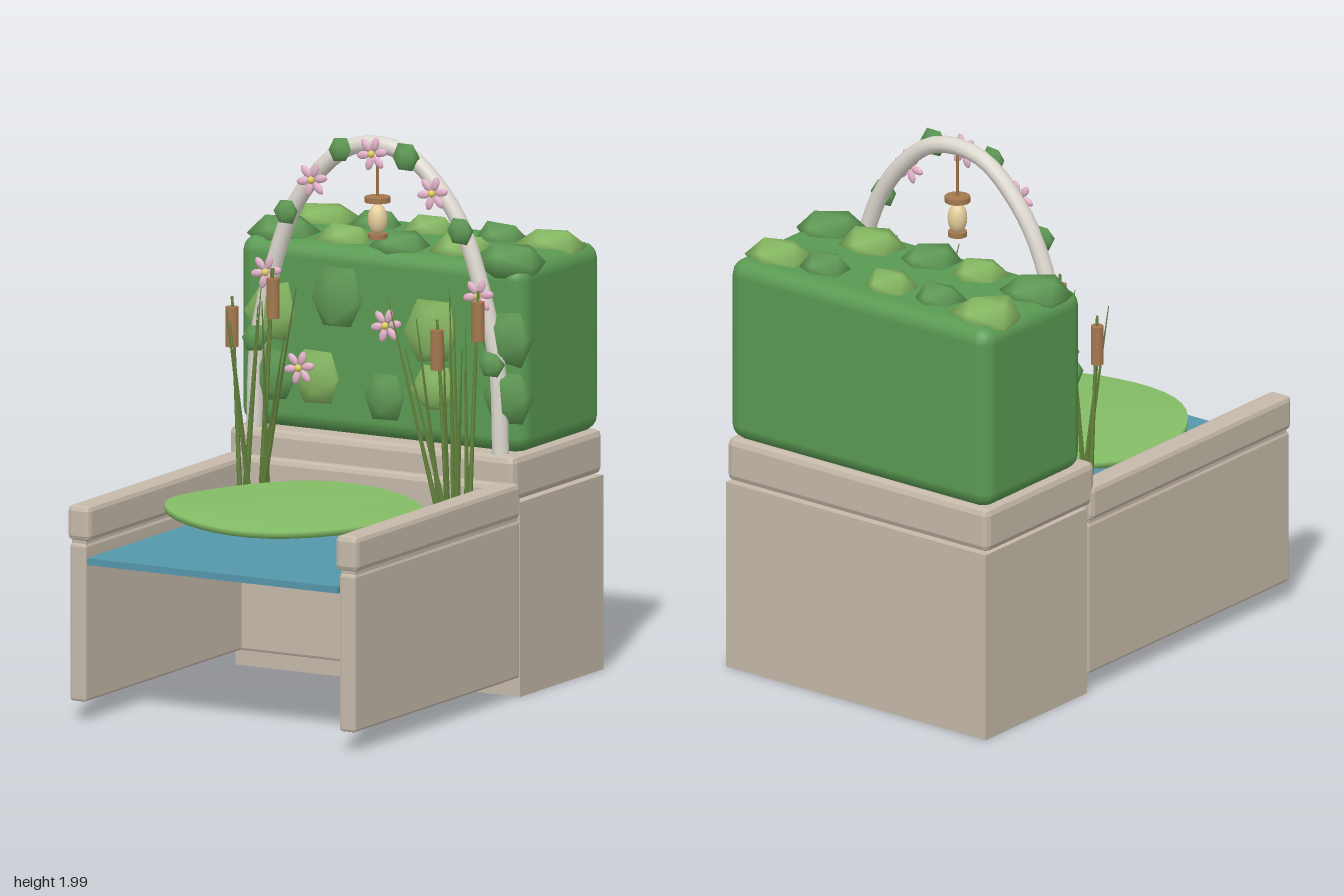
import * as THREE from 'three';
import { mergeVertices } from 'three/addons/utils/BufferGeometryUtils.js';
import { RoundedBoxGeometry } from 'three/addons/geometries/RoundedBoxGeometry.js';

const mat = (color, opts = {}) => {
  const m = new THREE.MeshStandardMaterial({ color });
  return Object.assign(m, opts);
};
const stone = mat(0xc4b8a8, { flatShading: true });
const hedgeGreen = mat(0x5a9a52);
const darkLeaf = mat(0x5f9a55);
const lightLeaf = mat(0x86b862);
const padGreen = mat(0x84bd66);
const reedGreen = mat(0x67883f);
const waterBlue = mat(0x5596ab);
const archWhite = mat(0xddd8cf);
const pink = mat(0xe6b3cc);
const yellow = mat(0xe3cf62);
const brown = mat(0xa5794f);
const cream = mat(0xe6cf9c);
const CX = -0.01; // shared mirror axis of the model

export function createModel() {
  const root = new THREE.Group();
  root.name = 'pondPlanter';
  let seed = 7;
  const rand = () => (seed = (seed * 16807) % 2147483647) / 2147483647;

  const add = (name, geo, material, x = 0, y = 0, z = 0, parent = root) => {
    const mesh = new THREE.Mesh(geo, material);
    mesh.name = name;
    mesh.position.set(x, y, z);
    parent.add(mesh);
    return mesh;
  };
  // box given by its limits, with chamfered edges when bevel > 0
  const block = (name, material, [x0, x1], [y0, y1], [z0, z1], bevel = 0, seg = 1) => {
    const s = [x1 - x0, y1 - y0, z1 - z0];
    const geo = bevel ? new RoundedBoxGeometry(...s, seg, bevel) : new THREE.BoxGeometry(...s);
    return add(name, geo, material, (x0 + x1) / 2, (y0 + y1) / 2, (z0 + z1) / 2);
  };
  // irregular low-poly foliage lump
  const clump = (name, material, x, y, z, sx, sy, sz) => {
    let geo = new THREE.IcosahedronGeometry(1, 0);
    geo.deleteAttribute('normal');
    geo.deleteAttribute('uv');
    geo = mergeVertices(geo);
    const p = geo.attributes.position;
    for (let i = 0; i < p.count; i++) {
      const k = 0.88 + 0.3 * rand();
      p.setXYZ(i, p.getX(i) * k * sx, p.getY(i) * k * sy, p.getZ(i) * k * sz);
    }
    geo.computeVertexNormals();
    return add(name, geo, material, x, y, z);
  };
  // tapered rod between two points
  const rod = (name, a, b, r0, r1, material, sides = 6) => {
    const from = new THREE.Vector3(...a), dir = new THREE.Vector3(...b).sub(from);
    const mesh = add(name, new THREE.CylinderGeometry(r1, r0, dir.length(), sides), material);
    mesh.position.copy(from).addScaledVector(dir, 0.5);
    mesh.quaternion.setFromUnitVectors(new THREE.Vector3(0, 1, 0), dir.normalize());
    return mesh;
  };

  // planter block and its coping
  block('planterBase', stone, [-0.6, 0.58], [0, 0.71], [-0.885, -0.295]);
  block('planterCoping', stone, [-0.605, 0.58], [0.715, 0.88], [-0.885, -0.25], 0.025);

  // basin walls with copings
  for (const s of [-1, 1]) {
    const span = (a, b) => [CX + s * a, CX + s * b].sort((p, q) => p - q);
    block('sideWall', stone, span(0.525, 0.592), [0.07, 0.645], [-0.29, 0.88], 0.01);
    block('sideWallCoping', stone, span(0.508, 0.602), [0.655, 0.785], [-0.285, 0.885], 0.02);
    block('sideWallJoint', stone, span(0.53, 0.587), [0.63, 0.67], [-0.28, 0.87]);
  }
  block('backWall', stone, [-0.6, 0.58], [0.07, 0.645], [-0.295, -0.225], 0.01);
  block('backWallCoping', stone, [-0.6, 0.58], [0.645, 0.785], [-0.295, -0.21], 0.02);
  block('water', waterBlue, [-0.53, 0.51], [0.572, 0.597], [-0.23, 0.88]);

  // lily pad: softly waved thin disc, cut straight at the back
  const pts = [[0, 0.738, 0.3], [0, 0.708, 0.3]], idx = [], N = 40;
  for (let i = 0; i < N; i++) {
    const a = (i / N) * Math.PI * 2;
    const x = 0.47 * Math.cos(a), z = Math.max(0.3 + 0.445 * Math.sin(a), -0.14);
    const wave = 0.008 * Math.sin(a * 3 + 0.5);
    pts.push([x, 0.738 + wave, z], [x, 0.715 + wave, z]);
    const t = 2 + i * 2, n = 2 + ((i + 1) % N) * 2;
    idx.push(0, n, t, 1, t + 1, n + 1, t, n, t + 1, n, n + 1, t + 1);
  }
  const padGeo = new THREE.BufferGeometry();
  padGeo.setAttribute('position', new THREE.Float32BufferAttribute(pts.flat(), 3));
  padGeo.setIndex(idx);
  padGeo.computeVertexNormals();
  add('lilyPad', padGeo, padGreen, CX, 0, 0);

  // hedge body
  block('hedge', hedgeGreen, [-0.605, 0.58], [0.875, 1.565], [-0.885, -0.315], 0.06, 2);

  // foliage on the top: x, z, radius
  const topRows = [
    [-0.49, -0.73, 0.14], [-0.26, -0.72, 0.1], [-0.04, -0.73, 0.1], [0.25, -0.73, 0.1], [0.46, -0.73, 0.13],
    [-0.49, -0.45, 0.14], [-0.22, -0.44, 0.11], [0, -0.43, 0.13], [0.25, -0.46, 0.12], [0.48, -0.41, 0.14],
  ];
  topRows.forEach(([x, z, r], i) => {
    const light = i < 5 ? i % 2 === 0 : i % 2 === 0 && i !== 5;
    clump('topFoliage', light ? lightLeaf : darkLeaf, x, 1.56, z, r, 0.065, r * 0.9);
  });
  // foliage on the front: x, y, radius, light
  [[-0.46, 1.3, 0.11, 1], [-0.19, 1.37, 0.12, 0], [0.21, 1.29, 0.11, 1], [0.51, 1.3, 0.1, 0],
    [-0.45, 1.07, 0.1, 0], [-0.27, 1.08, 0.1, 1], [0.01, 1.04, 0.09, 0], [0.22, 1.08, 0.09, 1], [0.52, 1.09, 0.1, 0],
  ].forEach(([x, y, r, l]) => clump('frontFoliage', l ? lightLeaf : darkLeaf, x, y, -0.315, r, r * 1.05, 0.05));

  // arch
  const half = [[-0.51, 0.88], [-0.495, 1.2], [-0.435, 1.46], [-0.35, 1.69], [-0.25, 1.83], [-0.13, 1.93]];
  const path = [...half, [0, 1.958], ...half.map(([x, y]) => [-x, y]).reverse()]
    .map(([x, y]) => new THREE.Vector3(x + CX, y, -0.293));
  add('arch', new THREE.TubeGeometry(new THREE.CatmullRomCurve3(path), 48, 0.031, 10), archWhite);

  // flowers
  const flower = (x, y, z) => {
    const g = new THREE.Group();
    g.name = 'flower';
    g.position.set(x, y, z);
    root.add(g);
    for (let i = 0; i < 6; i++) {
      const a = (i / 6) * Math.PI * 2 + 0.2;
      const petal = add('petal', new THREE.SphereGeometry(1, 8, 6), pink, 0.038 * Math.cos(a), 0.038 * Math.sin(a), 0, g);
      petal.scale.set(0.027, 0.015, 0.009);
      petal.rotation.z = a;
    }
    add('flowerCentre', new THREE.SphereGeometry(0.014, 8, 6), yellow, 0, 0, 0.008, g);
  };
  [[-0.44, 1.455], [-0.25, 1.81], [0, 1.93], [0.25, 1.81], [0.44, 1.455]].forEach(([x, y]) => flower(x + CX, y, -0.255));
  flower(0.05, 1.31, -0.25);
  flower(-0.31, 1.12, -0.25);

  // leaves along the arch
  for (const s of [-1, 1]) {
    for (const [x, y] of [[0.36, 1.685], [0.135, 1.93], [0.49, 1.21]]) {
      clump('archLeaf', darkLeaf, CX + s * x, y, -0.258, 0.05, 0.05, 0.03);
    }
  }

  // hanging lantern
  rod('lanternCord', [CX, 1.77, -0.293], [CX, 1.94, -0.293], 0.005, 0.005, brown);
  add('lanternRoof', new THREE.CylinderGeometry(0.047, 0.047, 0.02, 12), brown, CX, 1.758, -0.293);
  add('lanternBody', new THREE.SphereGeometry(0.036, 14, 10), cream, CX, 1.685, -0.293).scale.y = 1.6;
  add('lanternFoot', new THREE.CylinderGeometry(0.035, 0.035, 0.018, 12), brown, CX, 1.625, -0.293);

  // cattails and reed blades, one clump per side
  for (const s of [-1, 1]) {
    const outerIsTall = s > 0;
    for (const [x, baseX, tall] of [[0.51, 0.475, outerIsTall], [0.34, 0.385, !outerIsTall]]) {
      const y = tall ? 1.39 : 1.27;
      rod('cattailStem', [CX + s * baseX, 0.655, -0.13], [CX + s * x, y + 0.11, -0.133], 0.009, 0.005, reedGreen);
      add('cattailHead', new THREE.CylinderGeometry(0.024, 0.024, 0.145, 10), brown, CX + s * x, y, -0.133);
    }
    // base x, base z, tip x, tip y, tip z
    [[0.37, -0.1, 0.19, 1.46, -0.04], [0.41, -0.09, 0.45, 1.36, 0.01], [0.43, -0.12, 0.48, 1.3, -0.07],
      [0.4, -0.15, 0.37, 1.49, -0.17], [0.36, -0.13, 0.32, 1.4, -0.02], [0.44, -0.11, 0.4, 1.42, -0.15],
      [0.39, -0.12, 0.25, 1.28, -0.06], [0.46, -0.14, 0.43, 1.35, -0.18],
    ].forEach(([bx, bz, tx, ty, tz]) =>
      rod('reedBlade', [CX + s * bx, 0.655, bz], [CX + s * tx, ty, tz], 0.012, 0.002, reedGreen, 4));
  }
  return root;
}
